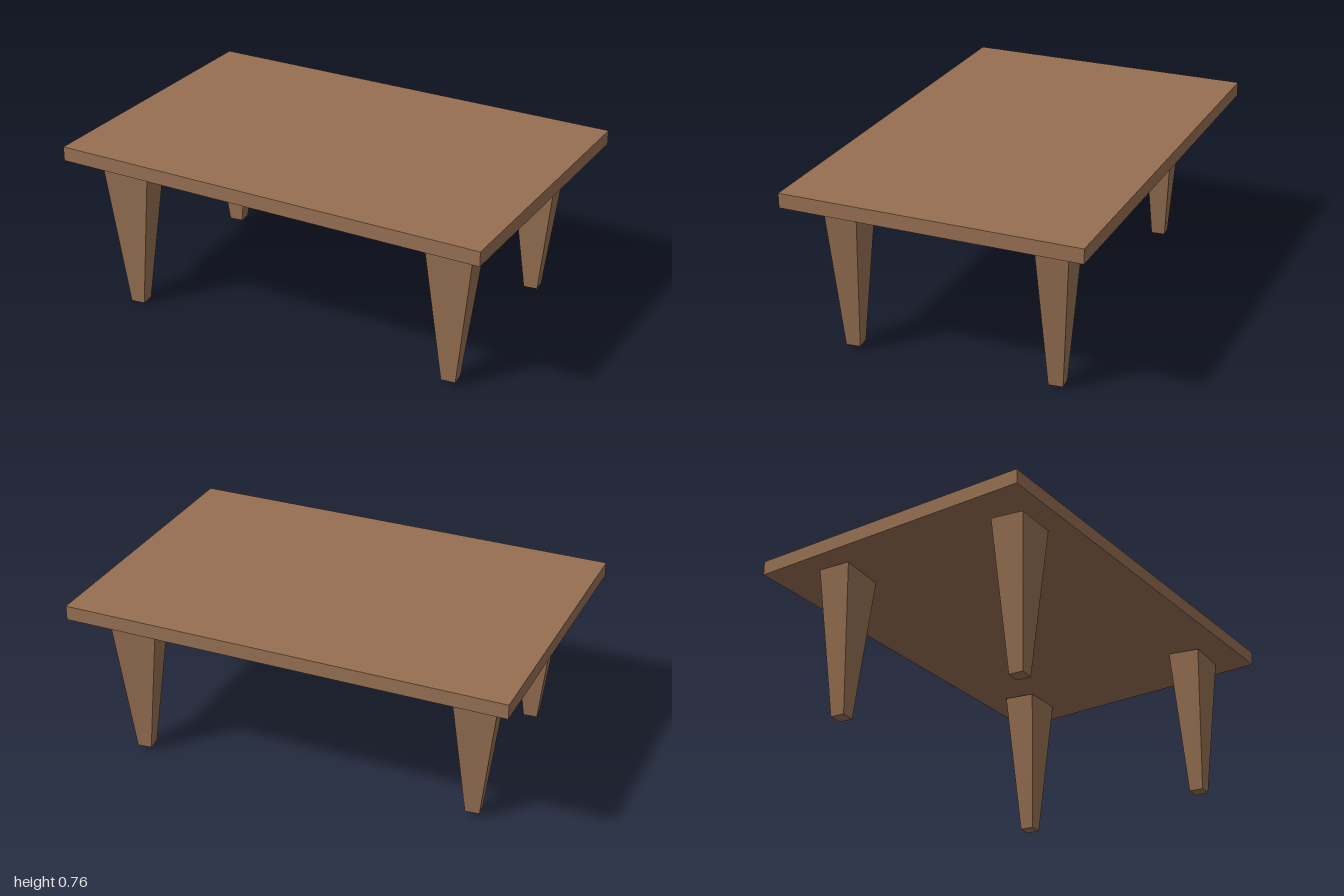
import * as THREE from 'three';

const wood = new THREE.MeshStandardMaterial({ color: 0x966f52, flatShading: true });

// Tapered leg with a slightly uneven top, standing on y = 0
function legGeometry() {
  const g = new THREE.BoxGeometry(1, 1, 1);
  const p = g.attributes.position;
  for (let i = 0; i < p.count; i++) {
    const sx = Math.sign(p.getX(i)), sz = Math.sign(p.getZ(i));
    if (p.getY(i) > 0) {
      const topY = sx > 0 ? (sz > 0 ? 0.69 : 0.672) : (sz > 0 ? 0.671 : 0.678);
      p.setXYZ(i, sx * 0.11, topY, sz * 0.074);
    } else {
      p.setXYZ(i, sx * 0.032, 0, sz * 0.032);
    }
  }
  g.computeVertexNormals();
  return g;
}

export function createModel() {
  const table = new THREE.Group();
  table.name = 'table';

  // Flat slab top
  const top = new THREE.Mesh(new THREE.BoxGeometry(2, 0.065, 1.333), wood);
  top.name = 'tabletop';
  top.position.y = 0.7305;
  table.add(top);

  // Four legs, placed a little irregularly and turned slightly
  const geometry = legGeometry();
  const legs = [
    ['frontRightLeg', -0.746, 0, 0.507],
    ['frontLeftLeg', 0.793, 0.02, 0.454],
    ['backLeftLeg', 0.761, 0.014, -0.467],
    ['backRightLeg', -0.779, 0.027, -0.374],
  ];
  for (const [name, x, y, z] of legs) {
    const leg = new THREE.Mesh(geometry, wood);
    leg.name = name;
    leg.position.set(x, y, z);
    leg.rotation.y = 0.1;
    table.add(leg);
  }
  return table;
}
